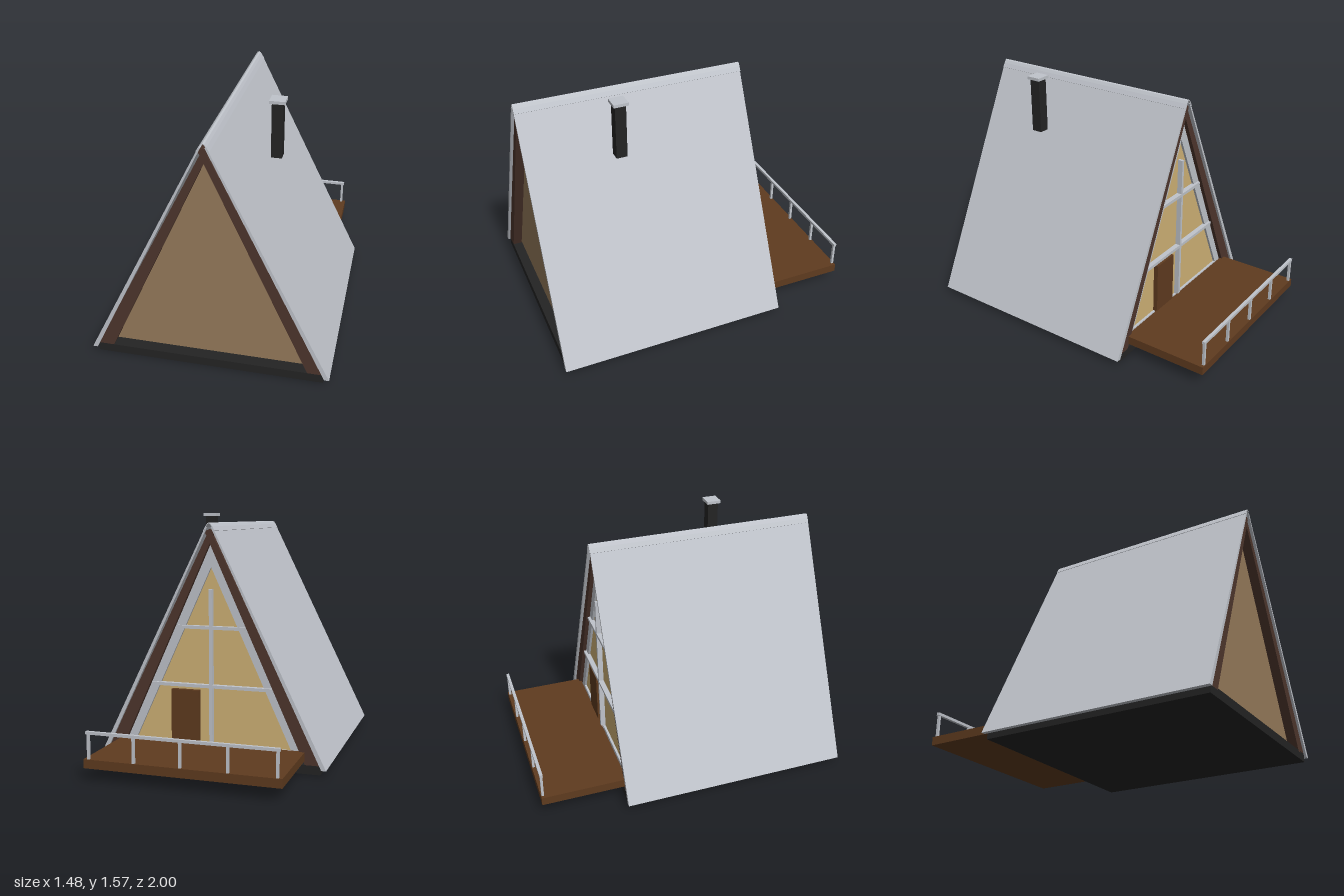
import * as THREE from 'three';

const paint = (name, color) => {
  const m = new THREE.MeshStandardMaterial({ color });
  m.name = name;
  return m;
};

export function createModel() {
  const house = new THREE.Group();
  house.name = 'aFrameCabin';

  const metal = paint('light grey metal', 0xc0c4cb);
  const beam = paint('dark brown beam', 0x4e362d);
  const wood = paint('brown wood', 0x5f3b1f);
  const wall = paint('tan cladding', 0x967b5b);
  const glass = paint('warm glass', 0xd0b276);
  const black = paint('black', 0x242424);

  const add = (name, geometry, material, x = 0, y = 0, z = 0) => {
    const mesh = new THREE.Mesh(geometry, material);
    mesh.name = name;
    mesh.position.set(x, y, z);
    house.add(mesh);
    return mesh;
  };
  // Box given by its limits on each axis
  const box = (name, material, [x0, x1], [y0, y1], [z0, z1]) =>
    add(name, new THREE.BoxGeometry(x1 - x0, y1 - y0, z1 - z0), material,
      (x0 + x1) / 2, (y0 + y1) / 2, (z0 + z1) / 2);
  const outline = (points) => new THREE.Shape(points.map(([x, y]) => new THREE.Vector2(x, y)));
  // Front-facing outline pushed from z0 to z1
  const slab = (name, material, shape, z0, z1) =>
    add(name, new THREE.ExtrudeGeometry(shape, { depth: z1 - z0, bevelEnabled: false }), material, 0, 0, z0);
  const triangle = (half, bottom, top) => [[-half, bottom], [half, bottom], [0, top]];

  // Foundation
  box('foundation', black, [-0.705, 0.705], [0, 0.056], [-0.465, 0.985]);

  // Roof panels, slightly thicker at the eaves
  for (const s of [-1, 1]) {
    const panel = outline([[0.742, 0.033], [0.024, 1.488], [0.012, 1.488], [0.712, 0.033]]
      .map(([x, y]) => [s * x, y]));
    slab(s > 0 ? 'leftRoofPanel' : 'rightRoofPanel', metal, panel, -0.48, 1);
  }

  // Folded ridge cap
  const fold = [[0.037, 1.467], [0.022, 1.494], [0.01, 1.511], [0, 1.516]];
  const half = [...fold, ...fold.slice(0, 3).reverse().map(([x, y]) => [-x, y])];
  const under = half.map(([x, y]) => [x * 0.86, y - 0.005]).reverse();
  slab('ridgeCap', metal, outline([...half, ...under]), -0.482, 1);

  // A-shaped rafter pairs at both gables, crossing at the peak
  const rafters = outline([
    [0.71, 0.046], [0.021, 1.437], [0.034, 1.463], [0, 1.477],
    [-0.034, 1.463], [-0.021, 1.437], [-0.71, 0.046],
    [-0.612, 0.046], [0, 1.39], [0.612, 0.046],
  ]);
  slab('frontRafters', beam, rafters, 0.91, 0.985);
  slab('backRafters', beam, rafters, -0.465, -0.39);

  // Front wall
  slab('frontWall', wall, outline(triangle(0.61, 0.07, 1.395)), 0.9, 0.925);

  // Glazed back gable with its frame
  slab('backWindow', glass, outline(triangle(0.58, 0.07, 1.33)), -0.425, -0.416);
  const frame = outline(triangle(0.61, 0.07, 1.39));
  frame.holes.push(new THREE.Path(triangle(0.515, 0.13, 1.245).map(([x, y]) => new THREE.Vector2(x, y))));
  slab('windowFrame', metal, frame, -0.44, -0.41);

  // Glazing bars
  box('centreBar', metal, [-0.01, 0.01], [0.07, 1.11], [-0.458, -0.425]);
  for (const [y, w] of [[0.5, 0.395], [0.87, 0.22]])
    box('crossBar', metal, [-w, w], [y - 0.01, y + 0.01], [-0.458, -0.425]);

  // Back door
  box('door', wood, [0.08, 0.265], [0.057, 0.47], [-0.455, -0.42]);

  // Deck and railing
  box('deck', wood, [-0.605, 0.605], [0.08, 0.135], [-1, -0.45]);
  for (let i = -2; i <= 2; i++) {
    const x = i * 0.288;
    box('railPost', metal, [x - 0.008, x + 0.008], [0.135, 0.288], [-0.996, -0.98]);
  }
  box('handrail', metal, [-0.59, 0.59], [0.286, 0.304], [-0.998, -0.978]);

  // Chimney
  box('chimney', black, [0.272, 0.338], [1.21, 1.556], [0.413, 0.482]);
  box('chimneyCap', metal, [0.258, 0.352], [1.555, 1.574], [0.401, 0.494]);

  return house;
}
